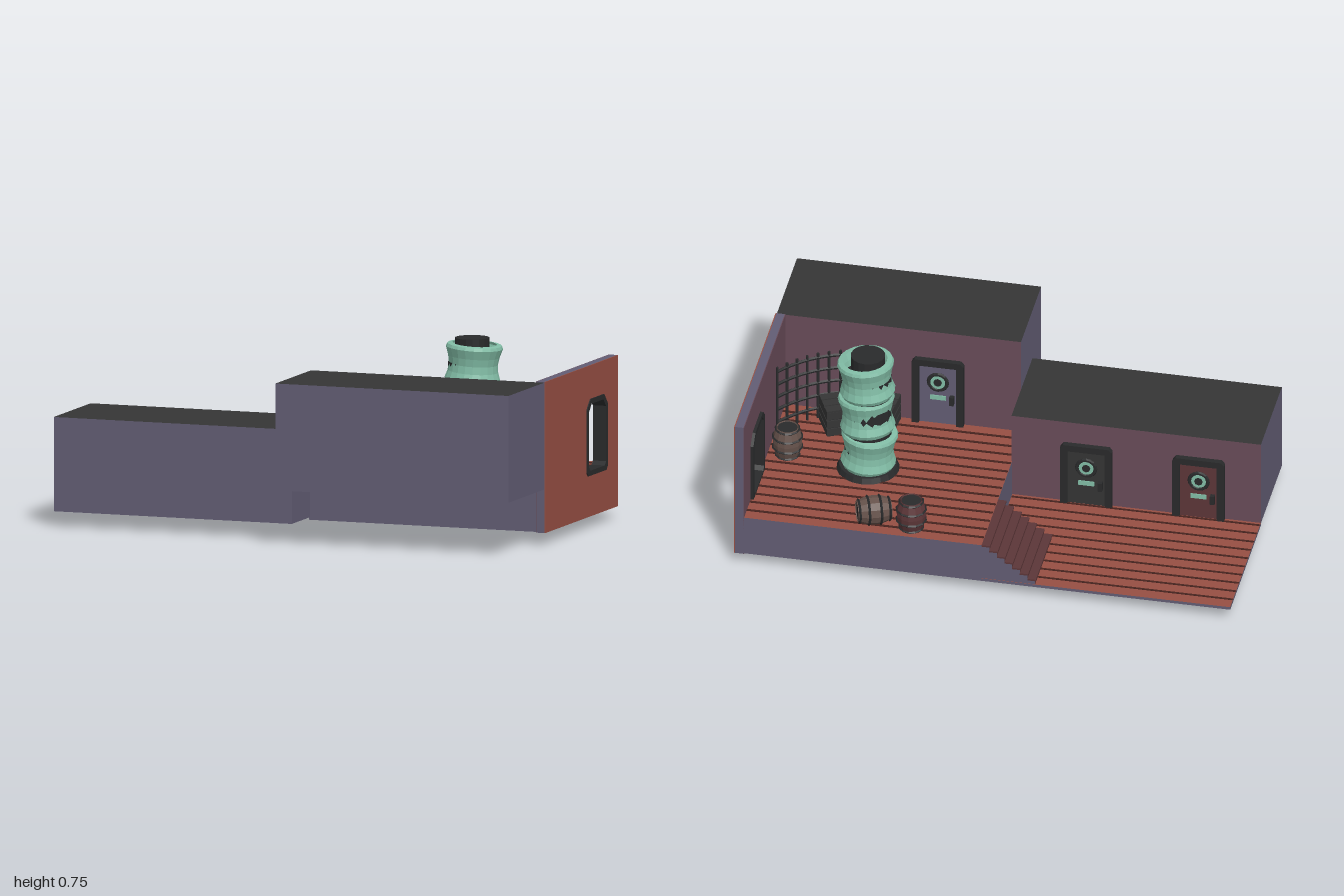
import * as THREE from 'three';

const mat = (name, color, side = THREE.FrontSide) => {
  const m = new THREE.MeshStandardMaterial({ color, side, flatShading: true });
  m.name = name;
  return m;
};

export function createModel() {
  const slate = mat('slate', 0x625d74), redwood = mat('redwood', 0x964f43), groove = mat('groove', 0x47241f);
  const mauve = mat('mauve', 0x694c59), dark = mat('charcoal', 0x353535), iron = mat('iron', 0x292a2b);
  const teal = mat('teal', 0x82bda6, THREE.DoubleSide), brown = mat('dark brown', 0x5c3638), oak = mat('oak', 0x65514a);

  const model = new THREE.Group();
  model.name = 'deck';
  const add = (parent, name, geo, material, x = 0, y = 0, z = 0) => {
    const m = new THREE.Mesh(geo, material);
    m.name = name;
    m.position.set(x, y, z);
    parent.add(m);
    return m;
  };
  // Box given by its minimum and maximum corners
  const block = (name, a, b, material, parent = model) => add(parent, name,
    new THREE.BoxGeometry(b[0] - a[0], b[1] - a[1], b[2] - a[2]), material,
    (a[0] + b[0]) / 2, (a[1] + b[1]) / 2, (a[2] + b[2]) / 2);
  const group = (name, x, y, z, ry = 0) => {
    const g = new THREE.Group();
    g.name = name;
    g.position.set(x, y, z);
    g.rotation.y = ry;
    model.add(g);
    return g;
  };
  const polygon = (pts, Type = THREE.Shape) => new Type(pts.map(p => new THREE.Vector2(p[0], p[1])));
  const extrude = (shape, depth) => new THREE.ExtrudeGeometry(shape, { depth, bevelEnabled: false });

  // Floors with dark plank grooves
  const floorFaces = [slate, slate, redwood, redwood, slate, slate];
  block('lowerFloor', [-1, 0.05, -0.6], [0, 0.062, 0], floorFaces);
  block('upperPlatform', [0, 0.05, -0.6], [0.98, 0.22, 0.21], floorFaces);
  for (let i = 1; i < 14; i++) {
    const z = -0.6 + i * 0.0586 - 0.005;
    block('upperGroove', [0.002, 0.219, z - 0.005], [0.955, 0.223, z + 0.005], groove);
    if (z < 0) block('lowerGroove', [-0.999, 0.061, z - 0.004], [-0.002, 0.065, z + 0.004], groove);
  }

  // Two buildings
  const houseFaces = [slate, slate, dark, slate, slate, mauve];
  block('lowHouse', [-1, 0.06, 0], [0.003, 0.435, 0.41], houseFaces);
  block('highHouse', [0.008, 0.22, 0.21], [0.99, 0.645, 0.605], houseFaces);

  // Side wall with archway: slate core, painted inside and outside
  const arch = t => [[0.245 + t, 0.225 + t], [0.26 + t, 0.21 + t], [0.46 - t, 0.21 + t], [0.475 - t, 0.225 + t],
    [0.475 - t, 0.475 - t * 0.5], [0.435 - t * 0.5, 0.515 - t], [0.285 + t * 0.5, 0.515 - t], [0.245 + t, 0.475 - t * 0.5]];
  const wallShape = polygon([[-0.21, 0.047], [0.6, 0.047], [0.6, 0.648], [-0.21, 0.648]]);
  wallShape.holes.push(polygon(arch(0.012), THREE.Path));
  const frameShape = polygon(arch(0));
  frameShape.holes.push(polygon(arch(0.02), THREE.Path));
  for (const [name, shape, x, depth, m] of [
    ['sideWall', wallShape, 0.958, 0.033, slate], ['innerWallPaint', wallShape, 0.955, 0.003, mauve],
    ['outerWallPaint', wallShape, 0.991, 0.004, redwood], ['archFrame', frameShape, 0.943, 0.056, iron]]) {
    add(model, name, extrude(shape, depth), m, x).rotation.y = Math.PI / 2;
  }
  block('archSill', [0.95, 0.2, -0.46], [0.994, 0.223, -0.26], slate);

  // Stairs between the floors
  const steps = 7, run = 0.215 / steps, rise = 0.158 / steps;
  for (let i = 0; i < steps; i++) {
    const x = -0.215 + i * run, y = 0.062 + (i + 1) * rise;
    block('stairStep', [x, 0.055, -0.598], [x + run, y - 0.006, -0.278], [slate, brown, brown, slate, slate, slate]);
    block('stairTread', [x - 0.003, y - 0.007, -0.6], [x + run, y, -0.275], brown);
  }

  // Doors, built facing +z and turned to face the deck
  const door = (x, y, z, panel) => {
    const g = group('door', x, y, z, Math.PI);
    const rim = polygon([[-0.104, 0], [0.104, 0], [0.104, 0.325], [0.092, 0.34], [-0.092, 0.34], [-0.104, 0.325]]);
    rim.holes.push(polygon([[-0.075, 0.035], [0.075, 0.035], [0.075, 0.312], [-0.075, 0.312]], THREE.Path));
    add(g, 'doorFrame', extrude(rim, 0.035), iron, 0, 0, -0.012);
    block('doorPanel', [-0.076, 0.03, 0], [0.076, 0.313, 0.009], panel, g);
    add(g, 'portholeRim', new THREE.TorusGeometry(0.037, 0.008, 6, 16), iron, 0, 0.235, 0.011);
    const glass = add(g, 'portholeGlass', new THREE.CylinderGeometry(0.03, 0.03, 0.006, 16), teal, 0, 0.235, 0.011);
    glass.rotation.x = Math.PI / 2;
    const hub = add(g, 'portholeHub', new THREE.CylinderGeometry(0.017, 0.017, 0.006, 8), iron, 0, 0.235, 0.014);
    hub.rotation.x = Math.PI / 2;
    block('namePlate', [-0.032, 0.152, 0.006], [0.032, 0.172, 0.013], teal, g);
    block('doorHandle', [0.048, 0.14, 0.006], [0.066, 0.178, 0.028], iron, g);
  };
  door(0.34, 0.18, 0.21, slate);
  door(-0.3, 0, 0, dark);
  door(-0.752, 0, 0, brown);

  // Stacked tank of three flared drums around a dark core
  const tank = group('tank', 0.548, 0.22, -0.155);
  add(tank, 'tankBase', new THREE.CylinderGeometry(0.115, 0.125, 0.022, 20), iron, 0, 0.011);
  add(tank, 'tankCore', new THREE.CylinderGeometry(0.094, 0.094, 0.43, 16), iron, 0, 0.225);
  add(tank, 'tankCap', new THREE.CylinderGeometry(0.068, 0.068, 0.12, 16), iron, 0, 0.475);
  const drum = [[0.085, 0], [0.102, 0.003], [0.11, 0.02], [0.1, 0.05], [0.097, 0.08], [0.102, 0.11],
    [0.113, 0.145], [0.108, 0.157], [0.088, 0.16]].map(p => new THREE.Vector2(p[0], p[1]));
  [0.05, -0.06, -0.07].forEach((tilt, i) => {
    const d = add(tank, 'tankDrum', new THREE.LatheGeometry(drum, 20), teal, 0, 0.018 + i * 0.167);
    d.rotation.set(i === 1 ? 0.05 : 0, i * 0.8, tilt);
    d.rotation.order = 'XZY';
  });

  // Barrels with iron hoops
  const barrel = (x, y, z, m) => {
    const g = group('barrel', x, y, z);
    const side = [[0, -0.068], [0.043, -0.068], [0.056, -0.03], [0.059, 0], [0.056, 0.03], [0.043, 0.068],
      [0.04, 0.06], [0, 0.06]];
    add(g, 'barrelBody', new THREE.LatheGeometry(side.map(p => new THREE.Vector2(p[0], p[1])), 12), m);
    for (const [r, h] of [[0.047, -0.06], [0.058, -0.024], [0.058, 0.024], [0.047, 0.06]]) {
      add(g, 'barrelHoop', new THREE.TorusGeometry(r, 0.005, 4, 12), iron, 0, h).rotation.x = Math.PI / 2;
    }
    add(g, 'barrelLid', new THREE.CylinderGeometry(0.04, 0.04, 0.004, 12), iron, 0, 0.062);
    return g;
  };
  barrel(0.295, 0.29, -0.54, brown);
  barrel(0.875, 0.29, -0.14, oak);
  barrel(0.447, 0.282, -0.532, oak).rotation.set(0, 0.36, -Math.PI / 2);

  // Crates with edge battens
  for (const [x, z, turn] of [[0.556, 0.137, -0.08], [0.718, 0.097, 0.45]]) {
    const g = group('crate', x, 0.22, z, turn), s = 0.064;
    block('crateBody', [-s + 0.006, 0, -s + 0.006], [s - 0.006, 0.116, s - 0.006], iron, g);
    for (const k of [-1, 0, 1]) {
      block('crateLidBoard', [-s, 0.11, k * 0.044 - 0.019], [s, 0.122, k * 0.044 + 0.019], dark, g);
      for (const e of [-1, 1]) {
        const y = 0.06 + k * 0.038;
        block('crateSlat', [-s, y - 0.016, e * 0.061 - 0.003], [s, y + 0.016, e * 0.061 + 0.003], dark, g);
        block('crateSlat', [e * 0.061 - 0.003, y - 0.016, -s], [e * 0.061 + 0.003, y + 0.016, s], dark, g);
      }
    }
  }

  // Curved iron grille across the corner
  const bend = new THREE.QuadraticBezierCurve3(new THREE.Vector3(0.635, 0, 0.202),
    new THREE.Vector3(0.83, 0, 0.18), new THREE.Vector3(0.948, 0, 0.015));
  for (let i = 0; i < 5; i++) {
    add(model, 'grilleRail', new THREE.TubeGeometry(bend, 12, 0.007, 5), iron, 0, 0.265 + i * 0.06);
  }
  for (let i = 0; i <= 8; i++) {
    const p = bend.getPoint(i / 8);
    add(model, 'grilleBar', new THREE.CylinderGeometry(0.006, 0.006, 0.31, 6), iron, p.x, 0.37, p.z);
  }
  return model;
}
